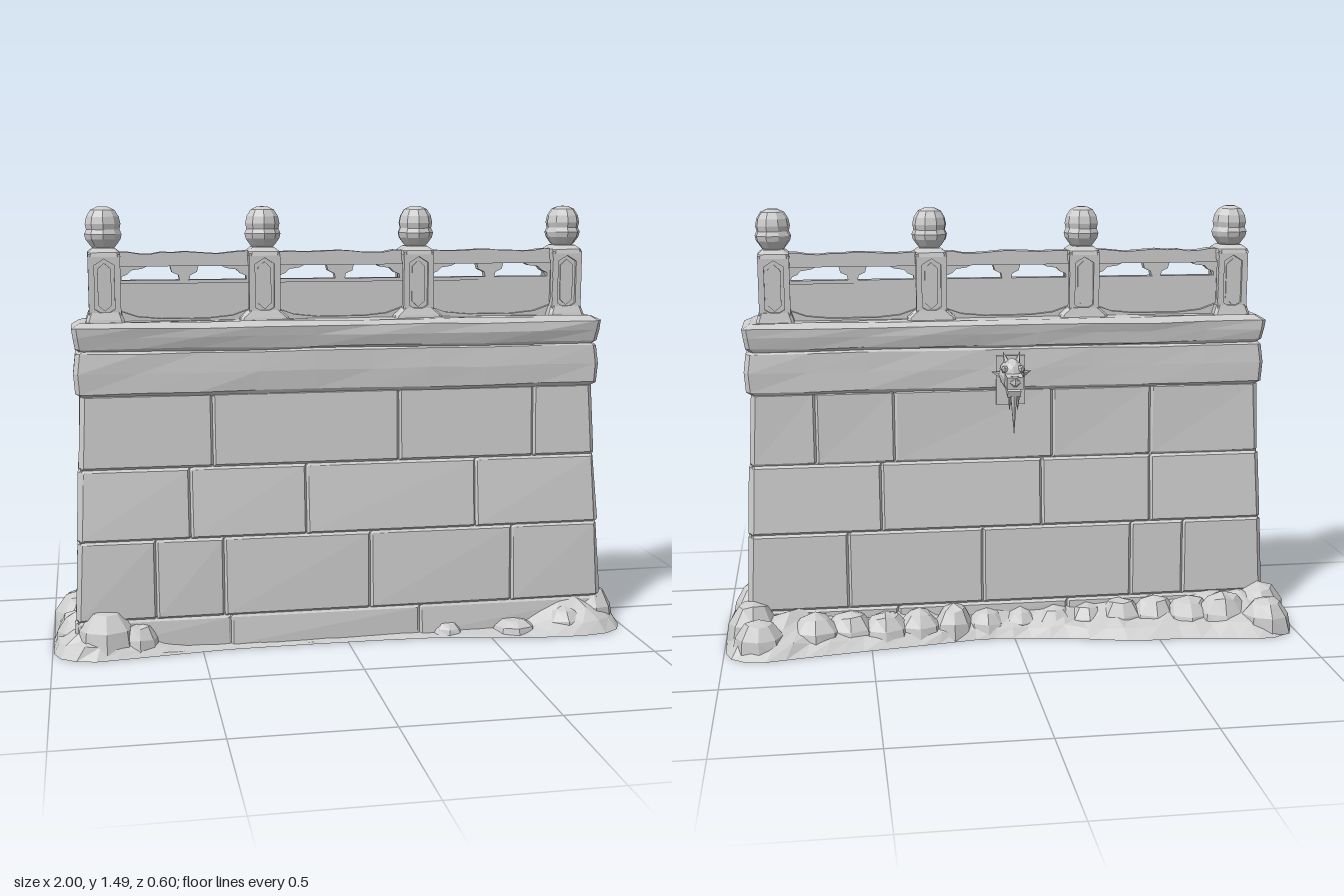
import * as THREE from 'three';

// The stonework is an open shell from below, so it shows from both sides
const stone = new THREE.MeshStandardMaterial({ color: 0xcccccc, flatShading: true, side: THREE.DoubleSide });
stone.name = 'pale stone';

const CZ = 0.045; // centre line of the balustrade
const noise = (a, b = 0) => { const s = Math.sin(a * 127.1 + b * 311.7) * 43758.5453; return (s - Math.floor(s)) * 2 - 1; };

function add(parent, geo, name, x = 0, y = 0, z = 0) {
  const m = new THREE.Mesh(geo, stone);
  m.name = name;
  m.position.set(x, y, z);
  parent.add(m);
  return m;
}

// Row of a table at key t, interpolated between its neighbours
function sample(table, t) {
  let i = 0;
  while (i < table.length - 2 && t > table[i + 1][0]) i++;
  const a = table[i], b = table[i + 1], f = (t - a[0]) / (b[0] - a[0]);
  return a.map((v, k) => v + (b[k] - v) * f);
}

// Skin over rings of [x, y, z] points, each ring anticlockwise seen from above
function loft(rings, capTop = true) {
  const pos = [], n = rings[0].length;
  const tri = (...p) => p.forEach(q => pos.push(...q));
  for (let i = 0; i + 1 < rings.length; i++) for (let j = 0; j < n; j++) {
    const k = (j + 1) % n, a = rings[i][j], b = rings[i][k], c = rings[i + 1][k], d = rings[i + 1][j];
    tri(a, b, c); tri(a, c, d);
  }
  if (capTop) {
    const r = rings[rings.length - 1], m = [0, 1, 2].map(k => r.reduce((s, p) => s + p[k], 0) / n);
    for (let j = 0; j < n; j++) tri(m, r[j], r[(j + 1) % n]);
  }
  const g = new THREE.BufferGeometry();
  g.setAttribute('position', new THREE.Float32BufferAttribute(pos, 3));
  g.computeVertexNormals();
  return g;
}

// Rectangle with cut corners, long sides split into n parts
function rect(y, hx, zf, zb, c = 0.01, n = 1, wob = 0) {
  const r = [], w = i => wob * noise(i, y * 10);
  for (let i = 0; i <= n; i++) r.push([(hx - c) * (2 * i / n - 1), y + w(i), zf + w(i + 20)]);
  r.push([hx, y + w(40), zf - c], [hx, y + w(41), zb + c]);
  for (let i = 0; i <= n; i++) r.push([(hx - c) * (1 - 2 * i / n), y + w(i + 50), zb + w(i + 70)]);
  r.push([-hx, y + w(90), zb + c], [-hx, y + w(91), zf - c]);
  return r;
}

// Tapering wall section: height, half width, front z, back z
const SECTION = [[0, 0.925, 0.195, -0.105], [0.11, 0.92, 0.192, -0.1], [0.38, 0.907, 0.182, -0.088],
  [0.62, 0.897, 0.16, -0.066], [0.87, 0.885, 0.147, -0.055]];
const B = 0.008; // bevel at the joints

// Bevelled face of one block; a0 and a1 run along the given side, Infinity meaning the corner
function block(a0, a1, y0, y1, side) {
  const g = new THREE.PlaneGeometry(1, 1, 3, 3), p = g.attributes.position;
  const snap = (v, lo, hi) => v < -0.4 ? lo : v < 0 ? lo + B : v < 0.4 ? hi - B : hi;
  for (let i = 0; i < p.count; i++) {
    const u = p.getX(i), v = p.getY(i), y = snap(v, y0, y1);
    const [, hx, zf, zb] = sample(SECTION, y);
    const onEnd = side === 'left' || side === 'right', s = side === 'front' || side === 'left' ? 1 : -1;
    const rim = Math.abs(u) > 0.4 || Math.abs(v) > 0.4;
    const push = rim ? -B : 0.004 * noise(y0 + u, y + s);
    const [lo, hi] = onEnd ? [zb + B, zf - B] : [Math.max(a0, B - hx), Math.min(a1, hx - B)];
    // Plane runs left to right as seen from outside
    const along = snap(onEnd ? -u * s : u * s, lo, hi);
    if (onEnd) p.setXYZ(i, s * (hx + push), y, along);
    else p.setXYZ(i, along, y, s > 0 ? zf + push : zb - push);
  }
  g.computeVertexNormals();
  return g;
}

function wall() {
  const w = new THREE.Group();
  w.name = 'wall';
  const rows = [0, 0.11, 0.38, 0.62, 0.87];
  const joints = {
    front: [[-0.4, 0.26], [-0.65, -0.42, 0.085, 0.59], [-0.53, -0.135, 0.46], [-0.45, 0.19, 0.67]],
    back: [[-0.2, 0.4], [-0.62, -0.43, 0.1, 0.57], [-0.5, -0.11, 0.45], [-0.5, -0.15, 0.4, 0.67]],
    left: [[], [], [], []], right: [[], [], [], []],
  };
  for (const side in joints) joints[side].forEach((row, i) => {
    const xs = [-Infinity, ...row, Infinity];
    for (let j = 0; j + 1 < xs.length; j++) add(w, block(xs[j], xs[j + 1], rows[i], rows[i + 1], side), 'wallBlock');
  });
  // Moulded band and coping
  const ring = ([y, hx, f, b]) => rect(y, hx, f, b, 0.015, 9, 0.003);
  add(w, loft([[0.86, 0.875, 0.142, -0.05], [0.875, 0.9, 0.155, -0.061], [0.94, 0.905, 0.158, -0.062],
    [1.005, 0.897, 0.154, -0.058], [1.014, 0.885, 0.145, -0.05]].map(ring)), 'corniceBand');
  add(w, loft([[1.012, 0.885, 0.147, -0.052], [1.022, 0.897, 0.157, -0.062], [1.06, 0.903, 0.166, -0.07],
    [1.09, 0.907, 0.168, -0.074], [1.108, 0.88, 0.148, -0.052]].map(ring)), 'coping');
  return w;
}

// Long six-sided outline used for the post panels
const hexagon = (T, w, y0, y1) => new T([[0, y0], [w, y0 + 0.02], [w, y1 - 0.02], [0, y1], [-w, y1 - 0.02], [-w, y0 + 0.02]]
  .map(q => new THREE.Vector2(...q)));

function post(x) {
  const g = new THREE.Group();
  g.name = 'post';
  g.position.set(x, 0, CZ);
  add(g, new THREE.BoxGeometry(0.081, 0.23, 0.106), 'postCore', 0, 1.215, 0);
  // Four framed faces, each with a raised inner panel
  for (let i = 0; i < 4; i++) {
    const hw = i % 2 ? 0.064 : 0.052, off = i % 2 ? 0.0405 : 0.053, pw = hw * 0.62;
    const s = new THREE.Shape([[-hw, 1.1], [hw, 1.1], [hw, 1.33], [-hw, 1.33]].map(q => new THREE.Vector2(...q)));
    s.holes.push(hexagon(THREE.Path, pw, 1.13, 1.315));
    const face = new THREE.Group();
    face.name = 'postFace';
    face.rotation.y = i * Math.PI / 2;
    add(face, new THREE.ExtrudeGeometry(s, { depth: 0.012, bevelEnabled: false }), 'postFrame', 0, 0, off);
    add(face, new THREE.ExtrudeGeometry(hexagon(THREE.Shape, pw - 0.01, 1.143, 1.302), { depth: 0.005, bevelEnabled: false }), 'postPanel', 0, 0, off);
    g.add(face);
  }
  add(g, loft([rect(1.322, 0.054, 0.067, -0.067), rect(1.336, 0.052, 0.064, -0.064), rect(1.35, 0.036, 0.045, -0.045)]), 'postCap');
  const fw = Math.abs(x) > 0.5 ? 0.066 : 0.085;
  add(g, loft([rect(1.1, fw, 0.077, -0.074), rect(1.116, fw - 0.004, 0.074, -0.071), rect(1.14, 0.054, 0.067, -0.067)]), 'postFoot');
  // Bud finial
  const prof = [[0.03, 1.345], [0.042, 1.356], [0.058, 1.378], [0.062, 1.395], [0.055, 1.41], [0.059, 1.428],
    [0.054, 1.452], [0.04, 1.474], [0.018, 1.484], [0, 1.485]].map(q => new THREE.Vector2(...q));
  add(g, new THREE.LatheGeometry(prof, 9), 'finial');
  return g;
}

function railing(x) {
  const g = new THREE.Group(), h = 0.225;
  g.name = 'railing';
  g.position.set(x, 0, CZ);
  const slab = (pts, d, name) => add(g, new THREE.ExtrudeGeometry(new THREE.Shape(pts.map(q => new THREE.Vector2(...q))),
    { depth: d, bevelEnabled: false }), name, 0, 0, -d / 2);
  // Top rail with a worn upper edge
  const rail = [[-h, 1.288], [h, 1.288]];
  for (let i = 12; i >= 0; i--) rail.push([h * (i / 6 - 1), 1.334 + 0.003 * Math.cos(i * Math.PI / 3) + 0.003 * noise(i, x)]);
  slab(rail, 0.05, 'topRail');
  slab([[-h, 1.1], [h, 1.1], [h, 1.24], [-h, 1.24]], 0.026, 'railPanel');
  slab([[-h, 1.23], [h, 1.23], [h, 1.242], [-h, 1.242]], 0.036, 'panelMoulding');
  // Curved drift along the panel foot, thicker beside the posts
  slab([[-h, 1.1], [h, 1.1], [h, 1.145], [0.16, 1.122], [0.08, 1.114], [-0.08, 1.114], [-0.16, 1.122], [-h, 1.145]], 0.06, 'panelFoot');
  // Scrolled brackets in the opening
  slab([[-0.015, 1.235], [0.015, 1.235], [0.02, 1.258], [0.042, 1.268], [0.048, 1.29], [-0.048, 1.29], [-0.042, 1.268], [-0.02, 1.258]], 0.034, 'centreBracket');
  for (const s of [-1, 1]) {
    const pts = [[h, 1.235], [h, 1.29], [0.12, 1.29], [0.14, 1.28], [0.175, 1.275], [0.188, 1.262], [0.207, 1.254], [0.21, 1.235]];
    slab(pts.map(([a, b]) => [a * s, b]), 0.034, 'sideBracket');
  }
  return g;
}

// Beast-head water spout on the back
function spout() {
  const g = new THREE.Group();
  g.name = 'spout';
  const box = (w, h, d, y, z, rx, name) => { add(g, new THREE.BoxGeometry(w, h, d), name, 0, y, z).rotation.x = rx; };
  box(0.1, 0.17, 0.025, 0.9, -0.058, 0, 'spoutPlate');
  add(g, new THREE.IcosahedronGeometry(1, 1), 'head', 0, 0.925, -0.095).scale.set(0.044, 0.056, 0.05);
  box(0.056, 0.042, 0.09, 0.912, -0.14, -0.1, 'upperJaw');
  box(0.046, 0.022, 0.07, 0.878, -0.13, -0.3, 'lowerJaw');
  add(g, new THREE.IcosahedronGeometry(0.024, 0), 'nose', 0, 0.912, -0.172);
  for (const s of [-1, 1]) {
    add(g, new THREE.ConeGeometry(0.015, 0.05, 5), 'horn', s * 0.022, 0.98, -0.095).rotation.set(0.2, 0, -s * 0.3);
    add(g, new THREE.ConeGeometry(0.018, 0.055, 4), 'ear', s * 0.045, 0.925, -0.085).rotation.set(0.4, 0, -s * 1.2);
    add(g, new THREE.IcosahedronGeometry(0.014, 0), 'eye', s * 0.028, 0.947, -0.126);
    add(g, new THREE.ConeGeometry(0.01, 0.07, 5), 'smallIcicle', s * 0.014, 0.84, -0.142).rotation.x = Math.PI;
  }
  add(g, new THREE.ConeGeometry(0.014, 0.16, 6), 'icicle', 0, 0.8, -0.15).rotation.x = Math.PI + 0.06;
  return g;
}

// Outline of the drift: x, back reach, front reach
const DRIFT = [[-1, 0.3, 0.26], [-0.85, 0.303, 0.275], [-0.6, 0.262, 0.245], [-0.42, 0.265, 0.225], [-0.2, 0.21, 0.22], [0.1, 0.172, 0.22],
  [0.35, 0.21, 0.23], [0.55, 0.238, 0.275], [0.75, 0.27, 0.298], [0.88, 0.293, 0.295], [1, 0.29, 0.28]];

// Open drift around the foot of the wall, with boulders set into it
function rubble() {
  const g = new THREE.Group();
  g.name = 'rubble';
  const s = new THREE.Shape(), X = 0.997, Z = 0.3, r = 0.14;
  s.moveTo(-X + r, -Z).lineTo(X - r, -Z).quadraticCurveTo(X, -Z, X, -Z + r).lineTo(X, Z - r).quadraticCurveTo(X, Z, X - r, Z);
  s.lineTo(-X + r, Z).quadraticCurveTo(-X, Z, -X, Z - r).lineTo(-X, -Z + r).quadraticCurveTo(-X, -Z, -X + r, -Z);
  const pts = s.getSpacedPoints(76).slice(0, -1);
  const steps = [[0, 0], [0.2, 0.4], [0.5, 0.7], [0.75, 0.95], [1, 1.05]];
  add(g, loft(steps.map(([t, k], i) => pts.map((p, j) => {
    const q = -p.y / Z, isBack = q < 0, e = THREE.MathUtils.smoothstep(Math.abs(p.x), 0.6, 0.93);
    const [, back, front] = sample(DRIFT, p.x);
    const out = q * (isBack ? back : front), inn = q * (isBack ? 0.06 : 0.16);
    const h = (isBack ? 0.085 : 0.015) + (isBack ? 0.03 : 0.09) * e + 0.015 * noise(j, i) * (isBack ? 1 : e);
    const wob = i ? 0.008 * noise(j, i + 9) : 0;
    return [p.x * (1 - 0.12 * t) + wob, Math.max(0, h * k), out + (inn - out) * t + wob];
  })), false), 'drift');
  // x, z, radius, height
  const rocks = [[-0.82, 0.17, 0.09, 0.165], [-0.92, 0.1, 0.06, 0.12], [-0.71, 0.18, 0.065, 0.1], [0.9, 0.15, 0.075, 0.14], [0.78, 0.2, 0.075, 0.08],
    [0.92, 0.03, 0.06, 0.1], [0.9, -0.1, 0.085, 0.16], [0.88, -0.2, 0.075, 0.12], [-0.9, -0.1, 0.085, 0.14], [-0.9, -0.21, 0.08, 0.12],
    [-0.92, 0.0, 0.06, 0.1], [0.6, 0.2, 0.07, 0.05], [0.36, 0.18, 0.05, 0.045]];
  for (let i = 0; i < 13; i++) {
    const x = -0.75 + i * 0.12, ax = Math.abs(x);
    rocks.push([x, -0.1 - 0.06 * ax + 0.012 * noise(i), 0.06 + 0.035 * ax, 0.095 + 0.04 * ax + 0.012 * noise(i, 5)]);
  }
  rocks.forEach(([x, z, rad, h], n) => {
    const geo = new THREE.SphereGeometry(1, 8, 3, 0, Math.PI * 2, 0, Math.PI / 2), p = geo.attributes.position;
    for (let i = 0; i < p.count; i++) {
      const [a, b, c] = [p.getX(i), p.getY(i), p.getZ(i)];
      const k = 1 + 0.07 * noise(Math.round(a * 50) + n, Math.round(b * 50) + Math.round(c * 50) * 0.37);
      p.setXYZ(i, a * k * rad * 1.2, b * k * h, c * k * rad);
    }
    geo.computeVertexNormals();
    add(g, geo, 'boulder', x, 0, z);
  });
  return g;
}

export function createModel() {
  const model = new THREE.Group();
  model.name = 'stoneParapetWall';
  model.add(wall(), spout(), rubble());
  for (let i = 0; i < 4; i++) model.add(post(-0.795 + i * 0.53));
  for (let i = -1; i <= 1; i++) model.add(railing(i * 0.53));
  return model;
}
